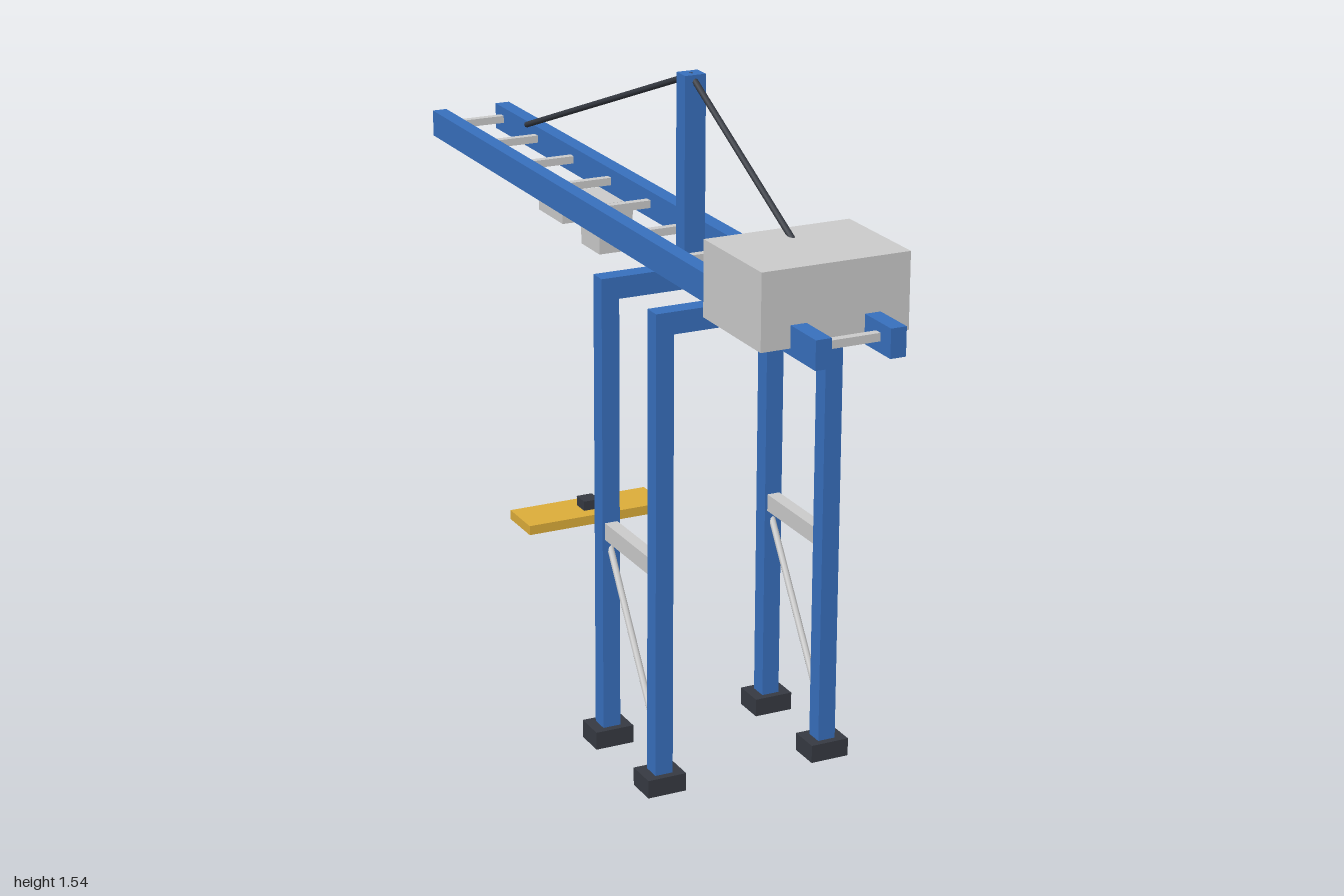
import * as THREE from 'three';

const mat = (color) => new THREE.MeshStandardMaterial({ color });

export function createModel() {
  const group = new THREE.Group();
  const blue = mat(0x3870be), grey = mat(0xcccccc), dark = mat(0x363a42);
  const gold = mat(0xddad3a), glass = mat(0x8abac6);

  // box given by its size and centre
  const box = (name, material, size, centre) => {
    const mesh = new THREE.Mesh(new THREE.BoxGeometry(...size), material);
    mesh.name = name;
    mesh.position.set(...centre);
    group.add(mesh);
  };

  // thin round bar between two points
  const rod = (name, material, from, to, radius) => {
    const a = new THREE.Vector3(...from), b = new THREE.Vector3(...to);
    const mesh = new THREE.Mesh(new THREE.CylinderGeometry(radius, radius, a.distanceTo(b), 8), material);
    mesh.name = name;
    mesh.position.copy(a).add(b).multiplyScalar(0.5);
    mesh.quaternion.setFromUnitVectors(new THREE.Vector3(0, 1, 0), b.sub(a).normalize());
    group.add(mesh);
  };

  const legX = 0.203, seaZ = 0.238, landZ = 0.508;

  // portal frames: feet, legs and top beam
  for (const z of [seaZ, landZ]) {
    for (const x of [-legX, legX]) {
      box('foot', dark, [0.092, 0.042, 0.075], [x, 0.021, z]);
      box('leg', blue, [0.042, 1.02, 0.042], [x, 0.55, z]);
    }
    box('portalBeam', blue, [0.448, 0.05, 0.042], [0, 1.082, z]);
  }

  // side beams and diagonal braces joining the frames
  for (const x of [-legX, legX]) {
    box('sideBeam', grey, [0.03, 0.04, landZ - seaZ - 0.03], [x, 0.52, (landZ + seaZ) / 2]);
    rod('diagonalBrace', grey, [x, 0.1, landZ - 0.005], [x, 0.495, seaZ + 0.005], 0.008);
  }

  // twin boom girders with cross ties
  for (const x of [-0.085, 0.085]) box('boomGirder', blue, [0.036, 0.064, 2], [x, 1.143, 0]);
  for (let i = 0; i < 10; i++) {
    box('crossTie', grey, [0.15, 0.018, 0.018], [0, 1.145, -0.958 + i * 0.212]);
  }

  // mast and stays
  box('mast', blue, [0.05, 0.428, 0.042], [0, 1.321, seaZ]);
  rod('foreStay', dark, [0, 1.53, seaZ], [0, 1.21, -0.65], 0.007);
  rod('backStay', dark, [0, 1.53, seaZ], [0, 1.285, 0.715], 0.007);

  // machinery house
  box('machineryHouse', grey, [0.34, 0.168, 0.255], [0, 1.21, 0.767]);

  // trolley with the operator cabin
  box('trolley', grey, [0.18, 0.035, 0.135], [0, 1.0975, -0.31]);
  box('cabin', grey, [0.085, 0.094, 0.102], [0.0525, 1.036, -0.308]);
  box('cabinWindow', glass, [0.006, 0.053, 0.076], [0.095, 1.033, -0.308]);

  // spreader and head block
  box('spreader', gold, [0.356, 0.023, 0.115], [0, 0.329, -0.31]);
  box('headBlock', dark, [0.04, 0.024, 0.043], [0, 0.352, -0.308]);

  return group;
}
